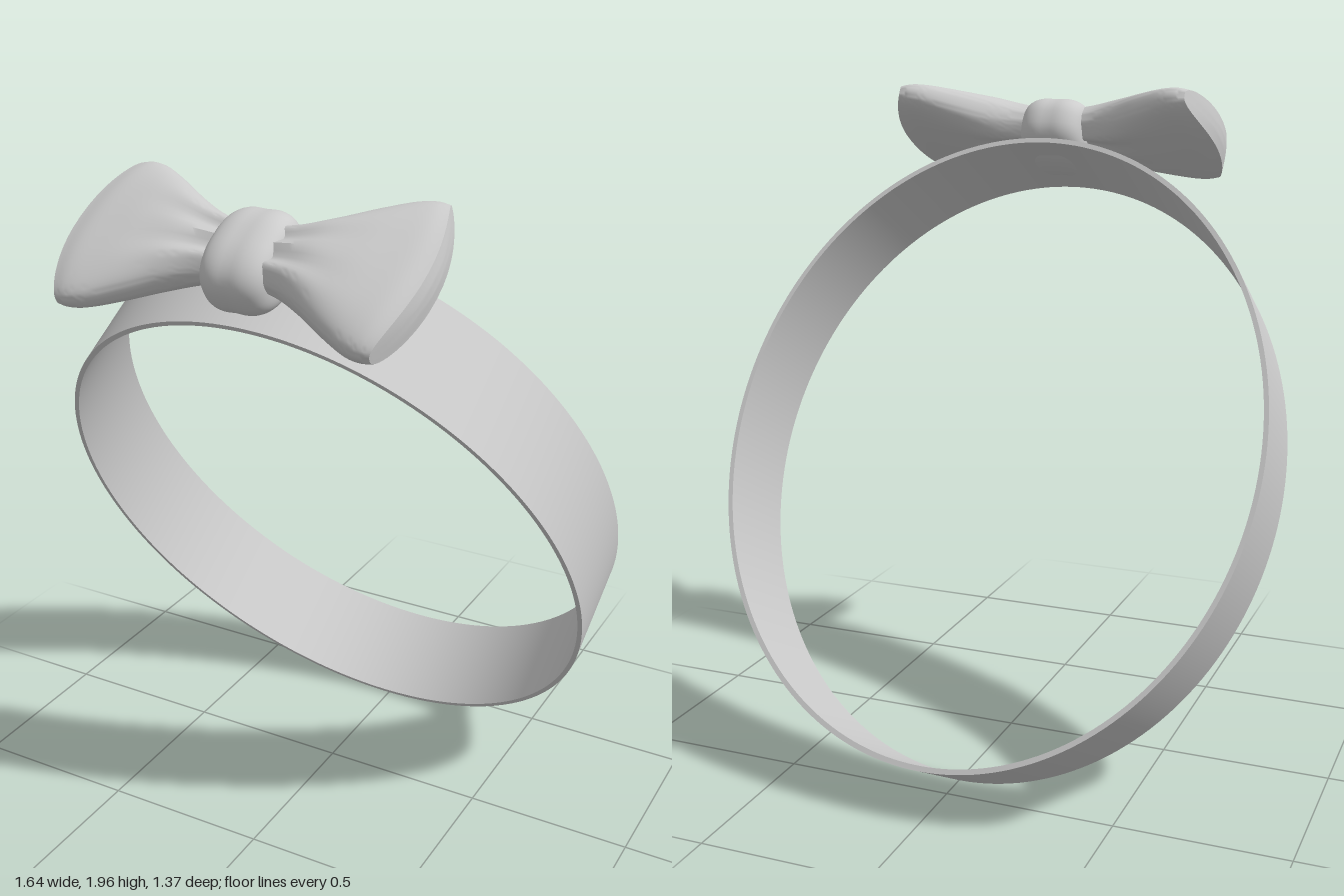
import * as THREE from 'three';
import { toCreasedNormals } from 'three/addons/utils/BufferGeometryUtils.js';

const TILT = Math.PI / 6;
const material = new THREE.MeshStandardMaterial({ color: 0xcccccc });

// Skin a row of closed cross-sections; point(i, angle) returns [x, y, z].
function loft(rows, cols, point, crease) {
  const pos = [], index = [];
  for (let i = 0; i < rows; i++) {
    for (let j = 0; j < cols; j++) {
      pos.push(...point(i, (j / cols) * Math.PI * 2));
      if (i === rows - 1) continue;
      const k = (j + 1) % cols;
      const a = i * cols + j, b = i * cols + k;
      index.push(a, a + cols, b, b, a + cols, b + cols);
    }
  }
  const g = new THREE.BufferGeometry();
  g.setAttribute('position', new THREE.Float32BufferAttribute(pos, 3));
  g.setIndex(index);
  g.computeVertexNormals();
  return crease ? toCreasedNormals(g, crease) : g;
}

// Superellipse coordinate
const soft = (v, n) => Math.sign(v) * Math.pow(Math.abs(v), 2 / n);

// Piecewise linear-to-smooth profile through a few points
function profile(points) {
  const curve = new THREE.SplineCurve(points.map(p => new THREE.Vector2(...p)));
  return t => curve.getPoint(t);
}

function addMesh(parent, geometry, name) {
  const mesh = new THREE.Mesh(geometry, material);
  mesh.name = name;
  parent.add(mesh);
  return mesh;
}

// Thin oval band
function bandGeometry() {
  const shape = new THREE.Shape().absellipse(0, 0, 0.818, 0.953, 0, Math.PI * 2);
  shape.holes.push(new THREE.Path().absellipse(0, 0, 0.804, 0.938, 0, Math.PI * 2, true));
  const g = new THREE.ExtrudeGeometry(shape, { depth: 0.316, bevelEnabled: false, curveSegments: 96 });
  g.translate(0, 0, -0.158);
  return toCreasedNormals(g, 0.6);
}

// One pillow-like bow wing, fanned out from the knot, with an arched end face
function wingGeometry(side) {
  const rows = 33, caps = 5;
  const height = profile([[0.03, 0.09], [0.12, 0.108], [0.2, 0.145], [0.29, 0.2], [0.37, 0.244], [0.42, 0.258], [0.455, 0.256]]);
  const thick = profile([[0.03, 0.045], [0.12, 0.06], [0.2, 0.072], [0.29, 0.072], [0.37, 0.066], [0.42, 0.06], [0.455, 0.048]]);
  return loft(rows + caps, 64, (i, angle) => {
    const t = Math.min(i / (rows - 1), 1);
    const shrink = i < rows ? 1 : 1 - (i - rows + 1) / caps;
    const h = height(t), c = Math.cos(angle), s = Math.sin(angle * side);
    const z = h.y * soft(c, 2.7) * shrink;
    const v = z / h.y;
    // Pleats gather near the knot and fade outward
    const pleat = 1 + 0.2 * Math.cos(v * Math.PI * 3) * Math.exp(-Math.pow(h.x / 0.19, 2));
    const y = thick(t).y * soft(s, 2.7) * pleat * shrink;
    const x = h.x + 0.055 * (1 - v * v) * t * t + 0.006 * (1 - shrink);
    return [side * x, y, z];
  }, 0.75);
}

// Rounded wrap around the middle, with a faint central groove
function knotGeometry() {
  const rows = 33;
  return loft(rows, 48, (i, angle) => {
    const p = -Math.PI / 2 + (i / (rows - 1)) * Math.PI;
    const x = 0.102 * soft(Math.sin(p), 2.6);
    const r = Math.pow(Math.abs(Math.cos(p)), 0.42) * (1 - 0.025 * Math.exp(-Math.pow(x / 0.025, 2)));
    return [x, 0.104 * r * soft(Math.sin(angle), 2.4), 0.15 * r * soft(Math.cos(angle), 2.4)];
  });
}

export function createModel() {
  const model = new THREE.Group();
  model.name = 'bowHeadband';

  const tilted = new THREE.Group();
  tilted.name = 'tiltedBand';
  tilted.position.set(0, 0.914, -0.0725);
  tilted.rotation.x = TILT;
  model.add(tilted);
  addMesh(tilted, bandGeometry(), 'band');

  const bow = new THREE.Group();
  bow.name = 'bow';
  bow.position.set(0.01, 1.052, 0);
  tilted.add(bow);
  addMesh(bow, wingGeometry(1), 'leftWing');
  addMesh(bow, wingGeometry(-1), 'rightWing');
  addMesh(bow, knotGeometry(), 'knot').position.y = -0.02;

  return model;
}
